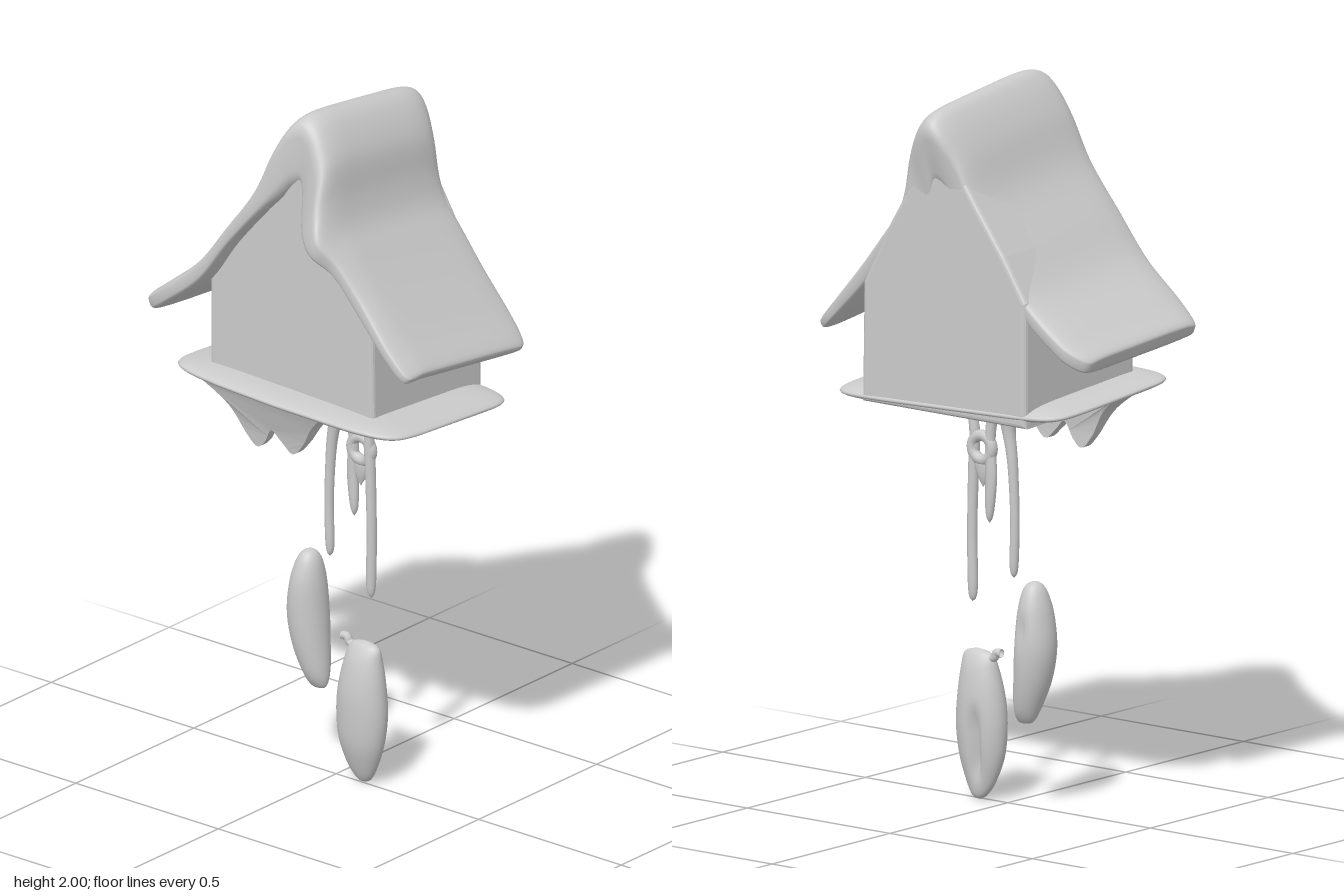
import * as THREE from 'three';

const mat = new THREE.MeshStandardMaterial({ color: 0xcccccc, side: THREE.DoubleSide });

function add(parent, name, geometry) {
  const mesh = new THREE.Mesh(geometry, mat);
  mesh.name = name;
  parent.add(mesh);
  return mesh;
}

// Smooth interpolation of every column in a list of rows, t in 0..1
function sample(rows, t) {
  const n = rows.length - 1;
  const i = Math.min(n - 1, Math.floor(t * n)), f = t * n - i;
  const [a, b, c, d] = [rows[Math.max(0, i - 1)], rows[i], rows[i + 1], rows[Math.min(n, i + 2)]];
  return b.map((p, k) => p + 0.5 * f * (c[k] - a[k] +
    f * (2 * a[k] - 5 * p + 4 * c[k] - d[k] + f * (3 * (p - c[k]) + d[k] - a[k]))));
}

// Surface made of closed loops: point(u, angle) -> [x, y, z]
function loops(nu, nv, point) {
  const pos = [], index = [];
  for (let i = 0; i <= nu; i++) {
    for (let j = 0; j < nv; j++) {
      pos.push(...point(i / nu, (j / nv) * Math.PI * 2));
      if (i === nu) continue;
      const a = i * nv + j, b = i * nv + (j + 1) % nv;
      index.push(a, a + nv, b, b, a + nv, b + nv);
    }
  }
  const g = new THREE.BufferGeometry();
  g.setAttribute('position', new THREE.Float32BufferAttribute(pos, 3));
  g.setIndex(index);
  g.computeVertexNormals();
  return g;
}

// Upright form from rows of [x, y, z, radiusX, radiusZ], listed bottom to top
const upright = (rows, nu = 24, nv = 20) => loops(nu, nv, (u, a) => {
  const [x, y, z, rx, rz] = sample(rows, u);
  return [x + Math.max(rx, 0) * Math.cos(a), y, z + Math.max(rz, 0) * Math.sin(a)];
});

function warp(g, rule) {
  const p = g.attributes.position, v = new THREE.Vector3();
  for (let i = 0; i < p.count; i++) {
    rule(v.fromBufferAttribute(p, i));
    p.setXYZ(i, v.x, v.y, v.z);
  }
  g.computeVertexNormals();
  return g;
}

const power = (s, p) => Math.sign(s) * Math.abs(s) ** p;

export function createModel() {
  const model = new THREE.Group();
  model.name = 'hangingHouseClock';

  // Sagging roof slab: outer x, y, inner x, y, front z, back z from eave to eave
  const roofRows = [
    [-.468, 1.345, -.468, 1.345, .215, -.18],
    [-.465, 1.365, -.445, 1.315, .24, -.225],
    [-.4, 1.415, -.375, 1.36, .26, -.258],
    [-.28, 1.515, -.265, 1.45, .262, -.26],
    [-.19, 1.635, -.175, 1.575, .252, -.262],
    [-.1, 1.765, -.07, 1.695, .243, -.262],
    [-.045, 1.9, -.02, 1.74, .232, -.272],
    [.005, 1.985, .01, 1.77, .22, -.3],
    [.045, 2.012, .04, 1.78, .21, -.308],
    [.095, 1.985, .045, 1.73, .215, -.295],
    [.145, 1.9, .05, 1.69, .235, -.27],
    [.165, 1.79, .09, 1.66, .275, -.264],
    [.19, 1.715, .15, 1.635, .302, -.262],
    [.235, 1.65, .21, 1.59, .275, -.262],
    [.31, 1.555, .285, 1.495, .264, -.262],
    [.4, 1.45, .38, 1.4, .27, -.26],
    [.465, 1.38, .445, 1.345, .265, -.24],
    [.47, 1.36, .47, 1.36, .235, -.2],
  ];
  add(model, 'roof', loops(102, 48, (u, a) => {
    const [ox, oy, ix, iy, zf, zb] = sample(roofRows, u);
    const s = power(Math.cos(a), .35), h = (1 + power(Math.sin(a), .45)) / 2;
    const back = h * zb + (1 - h) * Math.max(zb, -.255);
    const z = (zf + back) / 2 + s * (zf - back) / 2;
    const x = ix + (ox - ix) * h;
    const lean = .13 + .12 * Math.min(x, 0);
    return [x, iy + (oy - iy) * h + lean * (Math.min(z, .2) - .2), z];
  }));

  // House body: gable walls rising into the roof, the back one flush with its rim
  const gable = new THREE.Shape([
    [-.265, 1.155], [.285, 1.155], [.28, 1.46], [.19, 1.63], [.11, 1.76], [.06, 1.87],
    [.0, 1.85], [-.1, 1.71], [-.19, 1.59], [-.265, 1.475],
  ].map(p => new THREE.Vector2(...p)));
  const body = new THREE.ExtrudeGeometry(gable, {
    depth: .44, bevelThickness: .012, bevelSize: .012, bevelSegments: 3,
  });
  body.translate(0, 0, -.25);
  add(model, 'houseBody', warp(body, v => {
    if (v.z < -.2 && v.y > 1.4) v.y += .03;
    v.y += (v.y > 1.3 ? .1 : .06) * (v.z - .19);
  }));

  // Thin-edged, slightly warped base board with drawn-out corners
  add(model, 'baseBoard', loops(24, 96, (u, a) => {
    const phi = (u - .5) * Math.PI;
    const r = Math.cos(phi) ** .7;
    const cx = power(Math.cos(a), .25) * r, cz = power(Math.sin(a), .25) * r;
    const x = .018 + .4 * cx;
    const z = .002 + (cz > 0 ? .262 + .026 * (1 - cx * cx) : .268) * cz;
    return [x, 1.158 - .03 * x + .075 * z + .03 * Math.sin(phi), z];
  }));

  // Carved valance under the front edge
  const drape = new THREE.Shape();
  drape.moveTo(-.29, 1.15);
  drape.splineThru([[-.22, 1.09], [-.175, 1.015], [-.14, .98], [-.11, 1.0], [-.08, 1.045],
    [-.05, 1.02], [-.012, .99], [.03, 1.03], [.07, 1.09], [.13, 1.15]].map(p => new THREE.Vector2(...p)));
  const valance = new THREE.ExtrudeGeometry(drape, {
    depth: 1, bevelEnabled: false, steps: 2, curveSegments: 48,
  });
  add(model, 'valance', warp(valance, v => {
    const t = (v.y - .97) / .18;
    v.z = .155 + .015 * t + (v.z - .5) * (.025 + .07 * t * t);
  }));

  // Hanging chains, merged at the top around a small opening
  const chains = new THREE.Group();
  chains.name = 'chains';
  model.add(chains);
  const strands = [
    [[-.03, .63, -.01, 0, 0], [-.03, .66, -.01, .012, .012], [-.033, .8, -.01, .013, .013],
      [-.025, .95, -.01, .015, .015], [-.01, 1.05, -.01, .022, .02], [-.01, 1.15, -.01, .05, .04]],
    [[.115, .545, -.01, 0, 0], [.114, .58, -.01, .014, .012], [.118, .75, -.008, .014, .014],
      [.115, .92, -.006, .015, .015], [.112, 1.02, -.005, .015, .015], [.125, 1.09, -.01, .012, .016],
      [.12, 1.15, -.03, .025, .03]],
    [[.055, .77, -.01, 0, 0], [.055, .8, -.01, .012, .011], [.05, .9, -.01, .018, .013],
      [.055, 1.0, -.008, .015, .014], [.045, 1.08, -.008, .02, .016], [.03, 1.15, -.01, .04, .04]],
  ];
  strands.forEach(rows => add(chains, 'chain', upright(rows, 30, 12)));
  const link = add(chains, 'chainLink', new THREE.TorusGeometry(.034, .016, 10, 28));
  link.position.set(.083, .975, -.008);
  add(chains, 'chainWeb', upright([[.08, .865, -.008, 0, 0], [.08, .9, -.008, .02, .01],
    [.083, .945, -.008, .03, .011], [.083, .955, -.008, 0, 0]], 12, 12));

  // Small drips on the underside
  [[.06, -.07], [.22, -.11], [-.12, -.07], [.2, .06]].forEach(([x, z]) =>
    add(model, 'underDrip', upright([[x, 1.09, z, 0, 0], [x, 1.1, z, .012, .01],
      [x, 1.12, z, .022, .02], [x, 1.15, z, .05, .045]], 10, 12)));

  // Pine cone weights
  add(model, 'leftWeight', warp(upright([
    [-.07, .235, -.012, 0, 0], [-.072, .24, -.012, .025, .015], [-.08, .28, -.012, .04, .036],
    [-.098, .36, -.012, .053, .053], [-.108, .45, -.012, .057, .06], [-.106, .54, -.01, .048, .055],
    [-.103, .6, -.01, .034, .038], [-.102, .625, -.01, .018, .02], [-.102, .632, -.01, 0, 0],
  ], 40, 28), v => {
    if (v.z < -.02) v.z += .012 * Math.exp(-(((v.x + .1) / .012) ** 2) - ((v.y - .5) / .04) ** 2);
  }));
  add(model, 'rightWeight', warp(upright([
    [.092, .002, -.008, 0, 0], [.092, .012, -.008, .022, .016], [.09, .05, -.004, .046, .03],
    [.09, .12, 0, .07, .047], [.091, .2, 0, .079, .054], [.092, .28, 0, .074, .053],
    [.095, .36, -.002, .06, .04], [.098, .405, -.004, .046, .02], [.1, .418, -.005, 0, 0],
  ], 40, 36), v => {
    // Split along the back
    if (v.z < -.01) v.z += .025 * Math.exp(-(((v.x - .08) / .014) ** 2) - ((v.y - .16) / .09) ** 4);
  }));
  const hook = new THREE.CatmullRomCurve3([[.085, .385, -.005], [.06, .393, -.005], [.042, .4, -.005],
    [.035, .413, -.005], [.018, .413, -.005]].map(p => new THREE.Vector3(...p)));
  add(model, 'weightHook', new THREE.TubeGeometry(hook, 20, .012, 10));

  return model;
}
